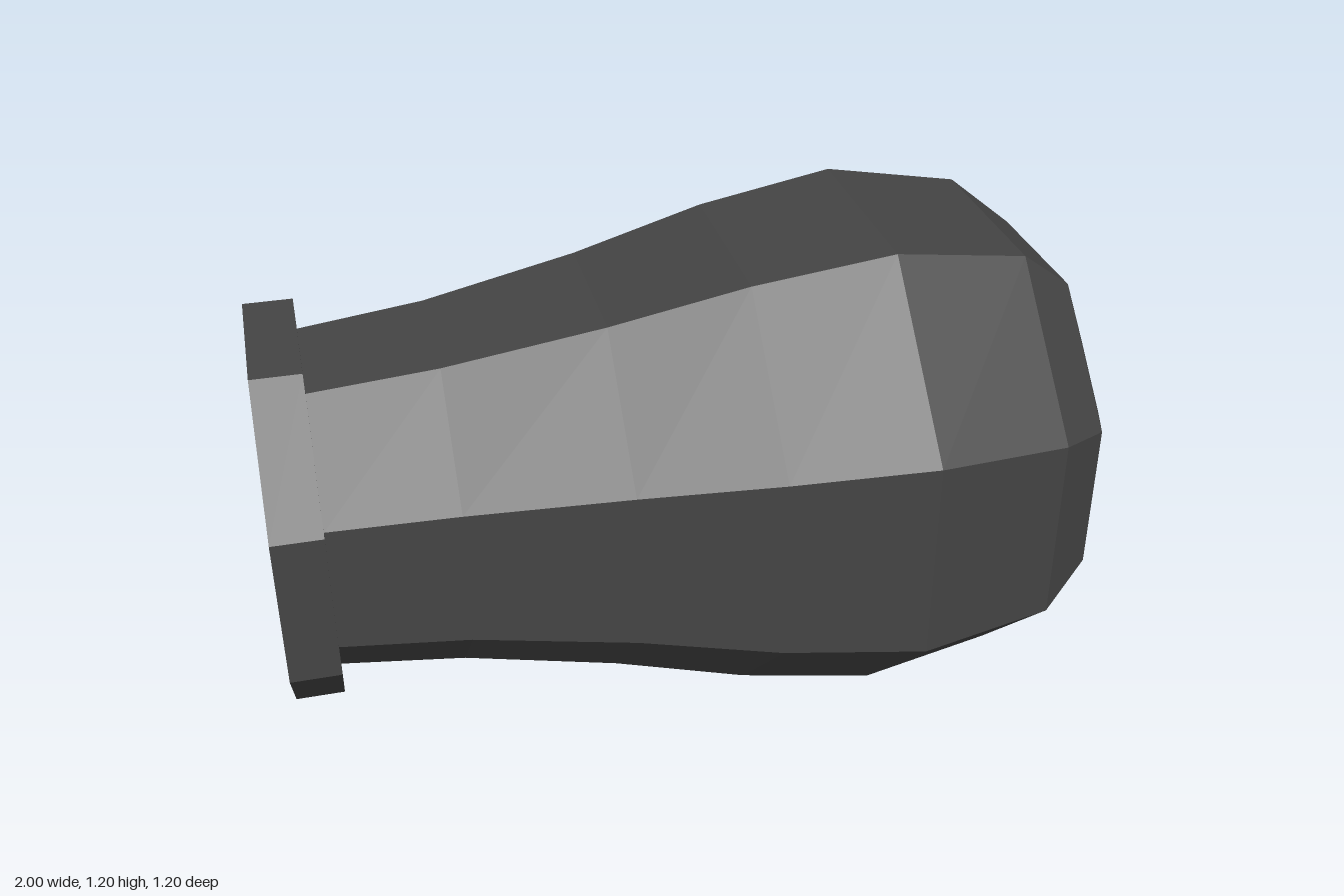
import * as THREE from 'three';

const SIDES = 8;
const CENTRE_Y = 0.6;

// Octagonal turned part along x; profile is [x, distance from axis to flat side]
function turned(name, profile, color) {
  const corner = 1 / Math.cos(Math.PI / SIDES);
  const points = profile.map(([x, r]) => new THREE.Vector2(r * corner, x));
  const geometry = new THREE.LatheGeometry(points, SIDES, Math.PI / SIDES);
  geometry.rotateZ(-Math.PI / 2);
  geometry.translate(0, CENTRE_Y, 0);
  const material = new THREE.MeshStandardMaterial({ color, flatShading: true });
  const mesh = new THREE.Mesh(geometry, material);
  mesh.name = name;
  return mesh;
}

export function createModel() {
  const group = new THREE.Group();
  group.name = 'barrel';

  // Bulging body, closed at the +x end
  group.add(turned('body', [
    [-0.885, 0.375], [-0.59, 0.405], [-0.22, 0.473], [0.1, 0.55], [0.43, 0.6],
    [0.75, 0.548], [0.89, 0.438], [1, 0.215], [1, 0],
  ], 0x444444));

  // Raised collar around the mouth
  group.add(turned('muzzleRim', [
    [-0.885, 0.37], [-1, 0.37], [-1, 0.44], [-0.885, 0.44], [-0.885, 0.37],
  ], 0x444444));

  // Dark plate recessed in the mouth
  group.add(turned('bore', [[-0.885, 0], [-0.885, 0.372]], 0x080808));

  return group;
}
